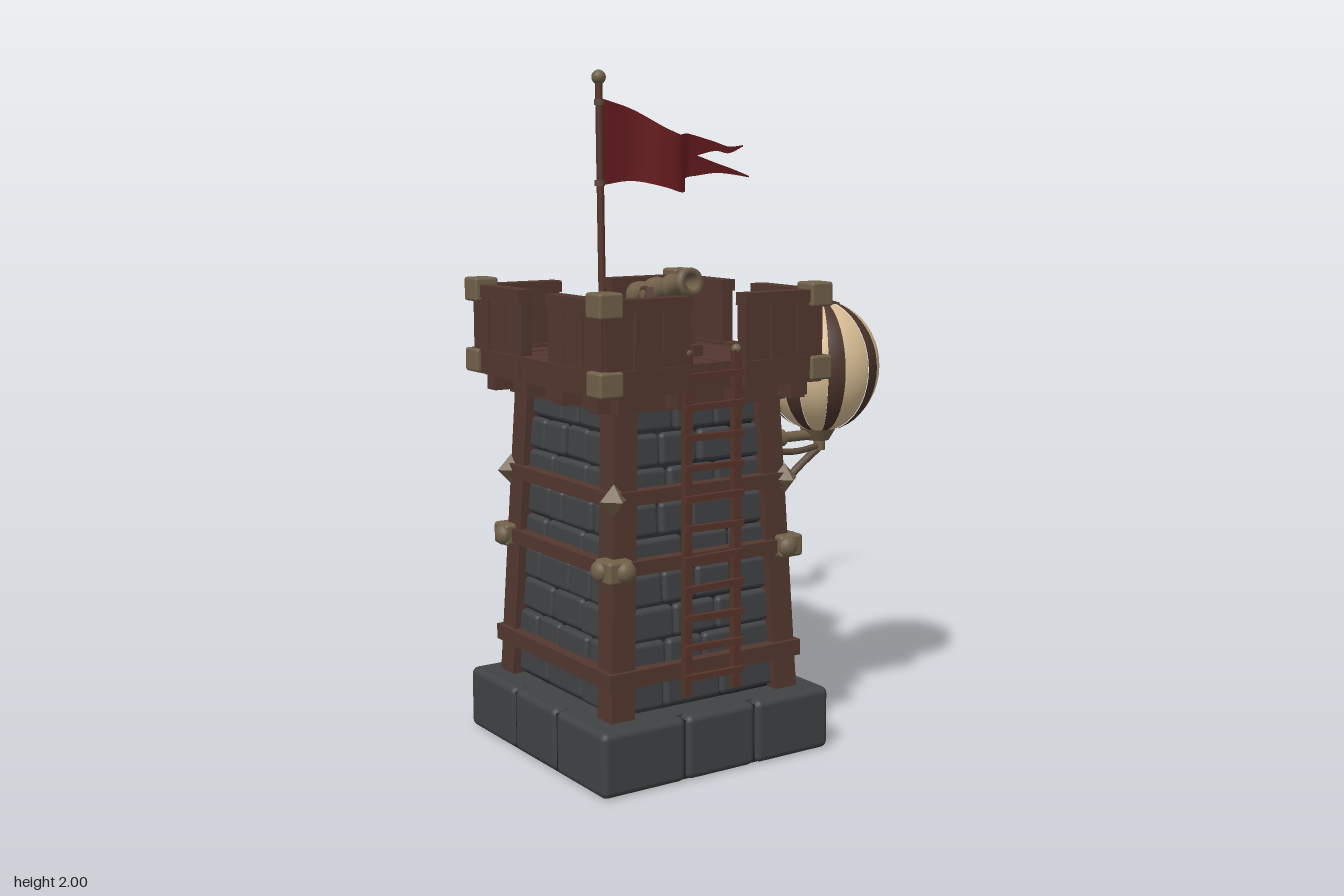
import * as THREE from 'three';
import { RoundedBoxGeometry } from 'three/addons/geometries/RoundedBoxGeometry.js';

const mat = (name, color, side = THREE.FrontSide) => {
  const m = new THREE.MeshStandardMaterial({ color, side });
  m.name = name;
  return m;
};
const WOOD = mat('wood', 0x53372f), LADDER = mat('ladderWood', 0x57342a), STONE = mat('stone', 0x404244);
const MORTAR = mat('mortar', 0x222325), METAL = mat('metal', 0x71614a), ROPE = mat('rope', 0x5d4a3d);
const CREAM = mat('cream', 0xd8bd94), STRIPE = mat('stripe', 0x4c352d), RED = mat('flagRed', 0x6c1e21, THREE.DoubleSide);

let seed = 7;
const rnd = () => (seed = (seed * 16807) % 2147483647) / 2147483647;
const V = (x, y, z) => new THREE.Vector3(x, y, z);

function add(parent, name, geo, material, x = 0, y = 0, z = 0) {
  const m = new THREE.Mesh(geo, material);
  m.name = name;
  m.position.set(x, y, z);
  parent.add(m);
  return m;
}
const box = (p, name, material, w, h, d, x, y, z) => add(p, name, new THREE.BoxGeometry(w, h, d), material, x, y, z);
const block = (p, name, material, w, h, d, x, y, z, r = 0.012) =>
  add(p, name, new RoundedBoxGeometry(w, h, d, 2, r), material, x, y, z);
const ball = (p, name, material, r, x, y, z) => add(p, name, new THREE.SphereGeometry(r, 16, 10), material, x, y, z);

// Straight member between two points: round if no depth is given
function beam(p, name, material, a, b, w, d) {
  const dir = b.clone().sub(a), len = dir.length();
  const geo = d ? new THREE.BoxGeometry(w, len, d) : new THREE.CylinderGeometry(w, w, len, 10);
  const m = add(p, name, geo, material);
  m.position.copy(a).add(b).multiplyScalar(0.5);
  m.quaternion.setFromUnitVectors(V(0, 1, 0), dir.normalize());
  return m;
}
const tube = (p, name, material, pts, r) =>
  add(p, name, new THREE.TubeGeometry(new THREE.CatmullRomCurve3(pts), 20, r, 8), material);

// Half width of the tapering tower at a height
const half = (y) => 0.32 - 0.047 * (y - 0.19);

function buildBase(t) {
  box(t, 'baseCore', MORTAR, 0.76, 0.17, 0.75, 0, 0.088, 0);
  const cuts = [-0.392, -0.115, 0.125, 0.392];
  for (let i = 0; i < 3; i++) for (let j = 0; j < 3; j++) {
    if (i === 1 && j === 1) continue;
    const w = cuts[i + 1] - cuts[i], d = cuts[j + 1] - cuts[j];
    block(t, 'baseStone', STONE, w - 0.004, 0.185, d - 0.004,
      (cuts[i] + cuts[i + 1]) / 2, 0.0925, (cuts[j] + cuts[j + 1]) / 2, 0.02);
  }
  box(t, 'baseTop', STONE, 0.7, 0.02, 0.7, 0, 0.174, 0);
}

// One side of the tower, facing +z
function buildSide(t, k) {
  const s = new THREE.Group();
  s.name = 'towerSide';
  s.rotation.y = k * Math.PI / 2;
  t.add(s);
  // Stone courses
  const rows = 9, rh = 0.88 / rows;
  for (let r = 0; r < rows; r++) {
    const y = 0.19 + (r + 0.5) * rh, w = half(y) - 0.05, n = r % 2 ? 4 : 3;
    let x = -w;
    for (let i = 0; i < n; i++) {
      const end = i === n - 1 ? w : -w + (2 * w * (i + 1 + (rnd() - 0.5) * 0.45)) / n;
      const m = block(s, 'wallStone', STONE, end - x - 0.005, rh - 0.005, 0.06,
        (x + end) / 2, y, half(y) - 0.057 + rnd() * 0.01, 0.014);
      m.rotation.set(-0.047, 0, (rnd() - 0.5) * 0.03);
      x = end;
    }
  }
  // Horizontal bands
  for (const [y, h] of [[0.302, 0.046], [0.61, 0.04], [0.805, 0.04], [1.07, 0.06]])
    box(s, 'band', WOOD, 2 * half(y) + 0.025, h, 0.04, 0, y, half(y) - 0.006);
  // Corbels under the platform
  for (const x of [-0.29, -0.1, 0.1, 0.29]) box(s, 'corbel', WOOD, 0.05, 0.06, 0.09, x, 1.08, 0.31);
  // Bosses on the corner brackets
  for (const x of [-0.278, 0.278]) {
    const b = ball(s, 'bracketBoss', METAL, 0.03, x, 0.61, 0.332);
    b.scale.z = 0.7;
  }
  // Parapet: sill and two merlons
  const gap = k % 2 ? 0.075 : 0.09;
  for (const sx of [-1, 1]) {
    box(s, 'sill', WOOD, 0.37 - gap, 0.07, 0.055, sx * (0.37 + gap) / 2, 1.135, 0.35);
    const n = 3, pw = (0.365 - gap) / n;
    for (let i = 0; i < n; i++) {
      const p = box(s, 'merlonPlank', WOOD, pw - 0.005, 0.25 + rnd() * 0.012, 0.034,
        sx * (gap + (i + 0.5) * pw), 1.225, 0.35 + rnd() * 0.006);
      p.rotation.z = (rnd() - 0.5) * 0.03;
    }
    box(s, 'merlonRail', WOOD, 0.365 - gap, 0.035, 0.05, sx * (0.365 + gap) / 2, 1.342, 0.352);
  }
  if (k !== 0) box(s, 'gapSill', WOOD, 2 * gap, 0.07, 0.05, 0, 1.135, 0.35);
}

function buildCorners(t) {
  for (const sx of [-1, 1]) for (const sz of [-1, 1]) {
    const a = half(0.19) - 0.037, b = half(1.08) - 0.037;
    beam(t, 'cornerPost', WOOD, V(sx * a, 0.18, sz * a), V(sx * b, 1.1, sz * b), 0.075, 0.075);
    block(t, 'cornerBracket', METAL, 0.08, 0.065, 0.08, sx * 0.293, 0.61, sz * 0.293, 0.01);
    add(t, 'cornerPoint', new THREE.OctahedronGeometry(0.045), METAL, sx * 0.292, 0.805, sz * 0.292);
    for (const y of [1.135, 1.345]) block(t, 'cornerCap', METAL, 0.076, 0.07, 0.076, sx * 0.353, y, sz * 0.349, 0.008);
  }
}

function buildFloor(t) {
  box(t, 'platform', WOOD, 0.7, 0.05, 0.68, 0, 1.115, 0);
  for (let i = 0; i < 8; i++)
    box(t, 'floorPlankLeft', WOOD, 0.28, 0.022 + rnd() * 0.006, 0.079, -0.225, 1.148, -0.29 + i * 0.083);
  for (let i = 0; i < 5; i++)
    box(t, 'floorPlankRight', WOOD, 0.051, 0.022 + rnd() * 0.006, 0.66, 0.115 + i * 0.055, 1.148, 0);
  for (let i = 0; i < 3; i++)
    box(t, 'floorPlankMiddle', WOOD, 0.054, 0.03 + rnd() * 0.006, 0.7, -0.057 + i * 0.057, 1.154, -0.002);
}

function buildLadder(g) {
  const z = 0.518;
  for (const x of [-0.343, -0.177]) {
    box(g, 'ladderRail', LADDER, 0.024, 0.97, 0.022, x, 0.72, z);
    ball(g, 'ladderTip', METAL, 0.014, x, 1.205, z);
  }
  for (let i = 0; i < 11; i++) {
    const r = box(g, 'ladderRung', LADDER, 0.196, 0.018, 0.016, -0.26, 0.29 + i * 0.085, z + 0.014);
    r.rotation.z = (rnd() - 0.5) * 0.04;
  }
}

function buildCannon(g) {
  const c = new THREE.Group();
  c.name = 'cannon';
  c.position.x = -0.255;
  g.add(c);
  // Barrel along its axis from breech knob to bore
  const profile = [[0, 0], [0.013, 0.005], [0.013, 0.02], [0.034, 0.025], [0.042, 0.035], [0.042, 0.055], [0.036, 0.06],
    [0.036, 0.12], [0.041, 0.125], [0.041, 0.145], [0.034, 0.15], [0.032, 0.21], [0.037, 0.215], [0.037, 0.23],
    [0.031, 0.235], [0.03, 0.285], [0.04, 0.295], [0.04, 0.32], [0.022, 0.32], [0.02, 0.2], [0, 0.2]];
  const barrel = add(c, 'barrel', new THREE.LatheGeometry(profile.map((p) => new THREE.Vector2(...p)), 20), METAL, 0, 1.322, 0.1);
  barrel.rotation.x = Math.PI / 2 - 0.21;
  beam(c, 'trunnion', METAL, V(-0.068, 1.345, 0.26), V(0.068, 1.345, 0.26), 0.014);
  for (const s of [-1, 1]) {
    beam(c, 'carriageFrontLeg', WOOD, V(s * 0.047, 1.36, 0.26), V(s * 0.058, 1.165, 0.33), 0.024, 0.035);
    beam(c, 'carriageBackLeg', WOOD, V(s * 0.047, 1.36, 0.26), V(s * 0.058, 1.165, 0.17), 0.024, 0.035);
    box(c, 'carriageFoot', WOOD, 0.028, 0.035, 0.23, s * 0.057, 1.185, 0.25);
  }
  box(c, 'carriageCrossbar', WOOD, 0.11, 0.025, 0.03, 0, 1.27, 0.29);
}

// Cloth between an upper and a lower edge; each row is x, z, top, bottom
function cloth(p, name, rows) {
  const top = new THREE.CatmullRomCurve3(rows.map(([x, z, t]) => V(x, t, z)));
  const bottom = new THREE.CatmullRomCurve3(rows.map(([x, z, , b]) => V(x, b, z)));
  const N = rows.length * 5, M = 3, pos = [], idx = [];
  for (let i = 0; i <= N; i++) for (let j = 0; j <= M; j++) {
    pos.push(...top.getPoint(i / N).lerp(bottom.getPoint(i / N), j / M).toArray());
    if (i < N && j < M) {
      const a = i * (M + 1) + j, b = a + M + 1;
      idx.push(a, a + 1, b, b, a + 1, b + 1);
    }
  }
  const geo = new THREE.BufferGeometry();
  geo.setAttribute('position', new THREE.Float32BufferAttribute(pos, 3));
  geo.setIndex(idx);
  geo.computeVertexNormals();
  add(p, name, geo, RED);
}

function buildFlag(g) {
  beam(g, 'flagPole', LADDER, V(-0.137, 1.12, -0.256), V(-0.137, 1.97, -0.272), 0.012);
  ball(g, 'poleKnob', METAL, 0.023, -0.137, 1.977, -0.272);
  block(g, 'poleBracket', METAL, 0.05, 0.055, 0.085, -0.137, 1.12, -0.243, 0.008);
  for (const y of [1.65, 1.9]) add(g, 'flagTie', new THREE.CylinderGeometry(0.017, 0.017, 0.018, 10), ROPE, -0.137, y, -0.269);
  cloth(g, 'flagBody', [[-0.127, -0.275, 1.913, 1.643], [0, -0.292, 1.88, 1.655], [0.106, -0.267, 1.825, 1.635],
    [0.175, -0.272, 1.8, 1.617], [0.217, -0.315, 1.795, 1.625], [0.245, -0.4, 1.797, 1.64],
    [0.33, -0.47, 1.808, 1.662], [0.38, -0.484, 1.8, 1.667]]);
  cloth(g, 'flagUpperTail', [[0.38, -0.484, 1.8, 1.735], [0.47, -0.5, 1.78, 1.75], [0.53, -0.51, 1.765, 1.742], [0.61, -0.535, 1.77, 1.765]]);
  cloth(g, 'flagLowerTail', [[0.38, -0.484, 1.735, 1.667], [0.47, -0.502, 1.71, 1.675], [0.55, -0.522, 1.69, 1.67], [0.645, -0.545, 1.663, 1.658]]);
}

function buildBalloon(g) {
  const b = new THREE.Group();
  b.name = 'balloon';
  b.position.set(0.312, 1.1, 0.28);
  b.scale.set(0.18, 0.2, 0.18);
  g.add(b);
  const sw = 0.29, step = Math.PI / 4, cap = 0.33;
  for (let i = 0; i < 8; i++) {
    const a = (i + 0.5) * step;
    add(b, 'balloonStripe', new THREE.SphereGeometry(1.012, 4, 24, a - sw / 2, sw), STRIPE);
    add(b, 'balloonPanel', new THREE.SphereGeometry(1, 6, 24, a + sw / 2, step - sw), CREAM);
  }
  add(b, 'balloonTopCap', new THREE.SphereGeometry(1.014, 24, 5, 0, Math.PI * 2, 0, cap), STRIPE);
  add(b, 'balloonBottomCap', new THREE.SphereGeometry(1.014, 24, 5, 0, Math.PI * 2, Math.PI - cap, cap), STRIPE);
  // Tether above
  tube(g, 'topTether', ROPE, [V(0.1, 1.33, 0.29), V(0.2, 1.318, 0.285), V(0.3, 1.328, 0.278), V(0.322, 1.3, 0.278)], 0.011);
  ball(g, 'tetherKnot', ROPE, 0.019, 0.317, 1.322, 0.278);
  // Arm and ropes below
  beam(g, 'supportArm', METAL, V(0, 0.89, 0.28), V(0.32, 0.89, 0.28), 0.016);
  beam(g, 'armCollar', METAL, V(0.115, 0.89, 0.28), V(0.17, 0.89, 0.28), 0.026);
  add(g, 'armCup', new THREE.CylinderGeometry(0.055, 0.035, 0.035, 20), METAL, 0.305, 0.89, 0.28);
  beam(g, 'armPin', METAL, V(0.312, 0.84, 0.28), V(0.312, 0.9, 0.28), 0.018);
  tube(g, 'slackRope', ROPE, [V(0.02, 0.87, 0.28), V(0.12, 0.853, 0.29), V(0.22, 0.845, 0.29), V(0.32, 0.855, 0.28)], 0.01);
  tube(g, 'strutRope', ROPE, [V(0.05, 0.61, 0.28), V(0.12, 0.69, 0.28), V(0.22, 0.785, 0.28), V(0.322, 0.855, 0.28)], 0.012);
}

export function createModel() {
  const g = new THREE.Group();
  g.name = 'watchtower';
  const t = new THREE.Group();
  t.name = 'tower';
  t.position.set(-0.247, 0, 0.16);
  g.add(t);
  buildBase(t);
  // Dark core behind the stones
  const core = add(t, 'wallCore', new THREE.CylinderGeometry(0.237 * Math.SQRT2, 0.278 * Math.SQRT2, 0.92, 4), MORTAR, 0, 0.64, 0);
  core.rotation.y = Math.PI / 4;
  for (let k = 0; k < 4; k++) buildSide(t, k);
  buildCorners(t);
  buildFloor(t);
  buildLadder(g);
  buildCannon(g);
  buildFlag(g);
  buildBalloon(g);
  return g;
}
